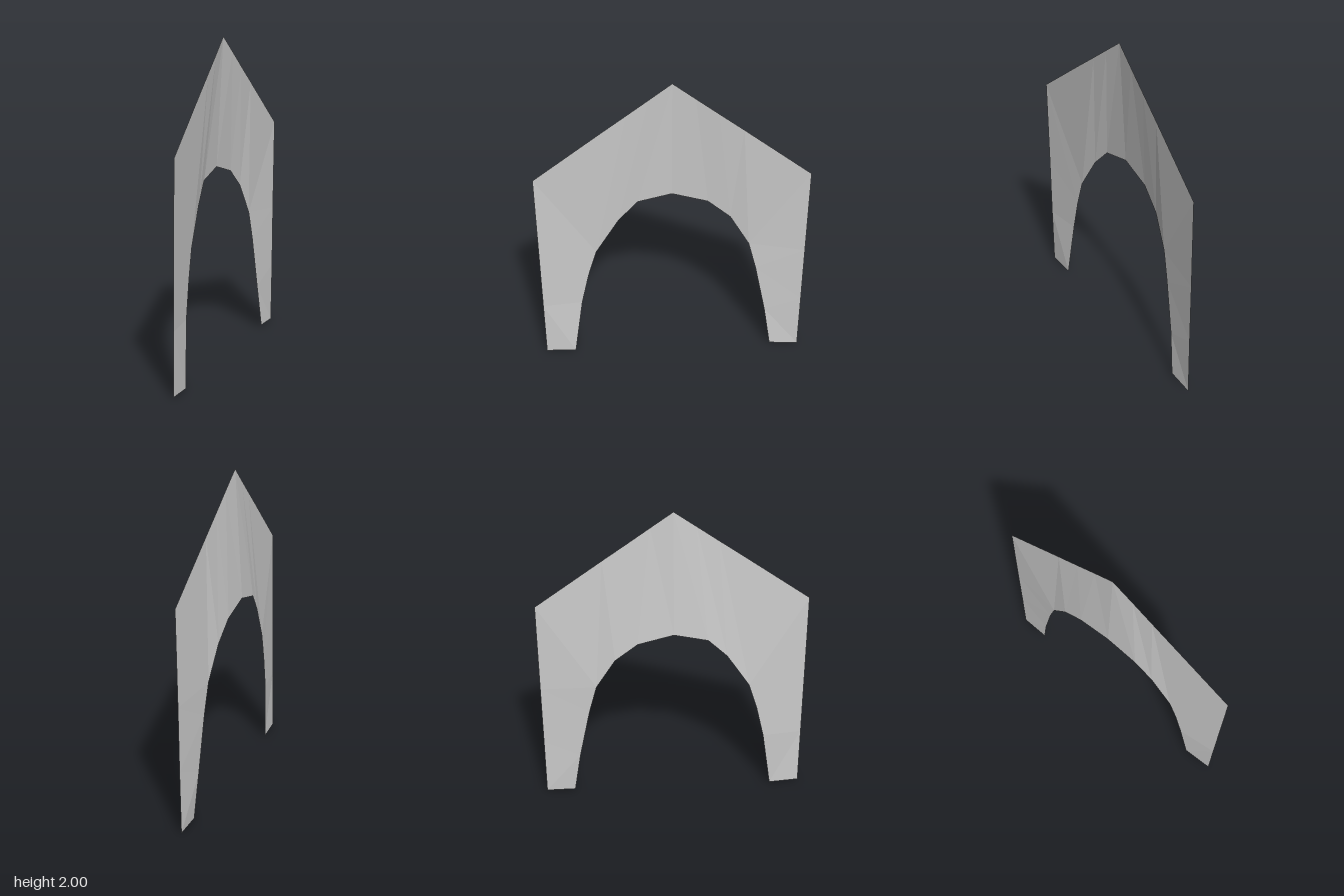
import * as THREE from 'three';

// Rungs across the sheet, from one foot over the top to the other:
// inner edge point followed by the outer edge point, each as x, y, z
const rungs = [
  [0.02, 0.0, 0.64, 0.025, 0.01, 0.83],
  [0.0, 0.4, 0.58, 0.03, 0.4, 0.83],
  [-0.005, 0.62, 0.53, 0.033, 0.8, 0.83],
  [-0.01, 0.8, 0.475, 0.04, 1.385, 0.83],
  [-0.01, 0.8, 0.475, 0.02, 1.69, 0.42],
  [-0.025, 1.03, 0.33, 0.013, 1.8, 0.27],
  [-0.04, 1.155, 0.21, 0.007, 1.9, 0.135],
  [-0.045, 1.205, 0, 0, 2, 0],
  [-0.04, 1.145, -0.22, 0.007, 1.9, -0.135],
  [-0.03, 1.03, -0.36, 0.013, 1.8, -0.27],
  [-0.013, 0.83, -0.48, 0.02, 1.69, -0.42],
  [-0.013, 0.83, -0.48, 0.04, 1.385, -0.83],
  [-0.005, 0.64, -0.53, 0.033, 0.8, -0.83],
  [0.005, 0.3, -0.6, 0.03, 0.4, -0.83],
  [0.02, 0.015, -0.645, 0.025, 0.01, -0.83],
];

export function createModel() {
  const group = new THREE.Group();
  group.name = 'gabledArch';

  // Join neighbouring rungs with two triangles facing +x,
  // leaving out the empty one where two rungs share an inner point
  const index = [];
  for (let i = 0; i < rungs.length - 1; i++) {
    const a = 2 * i, b = a + 1, c = a + 2, d = a + 3;
    if (rungs[i][2] !== rungs[i + 1][2]) index.push(a, c, d);
    index.push(a, d, b);
  }
  const sheet = new THREE.BufferGeometry();
  sheet.setAttribute('position', new THREE.Float32BufferAttribute(rungs.flat(), 3));
  sheet.setIndex(index);
  sheet.computeVertexNormals();

  // Thin bent panel with a pointed top and an arched opening
  const panel = new THREE.Mesh(sheet, new THREE.MeshStandardMaterial({
    color: 0xcccccc, flatShading: true, side: THREE.DoubleSide,
  }));
  panel.name = 'archPanel';
  group.add(panel);
  return group;
}
